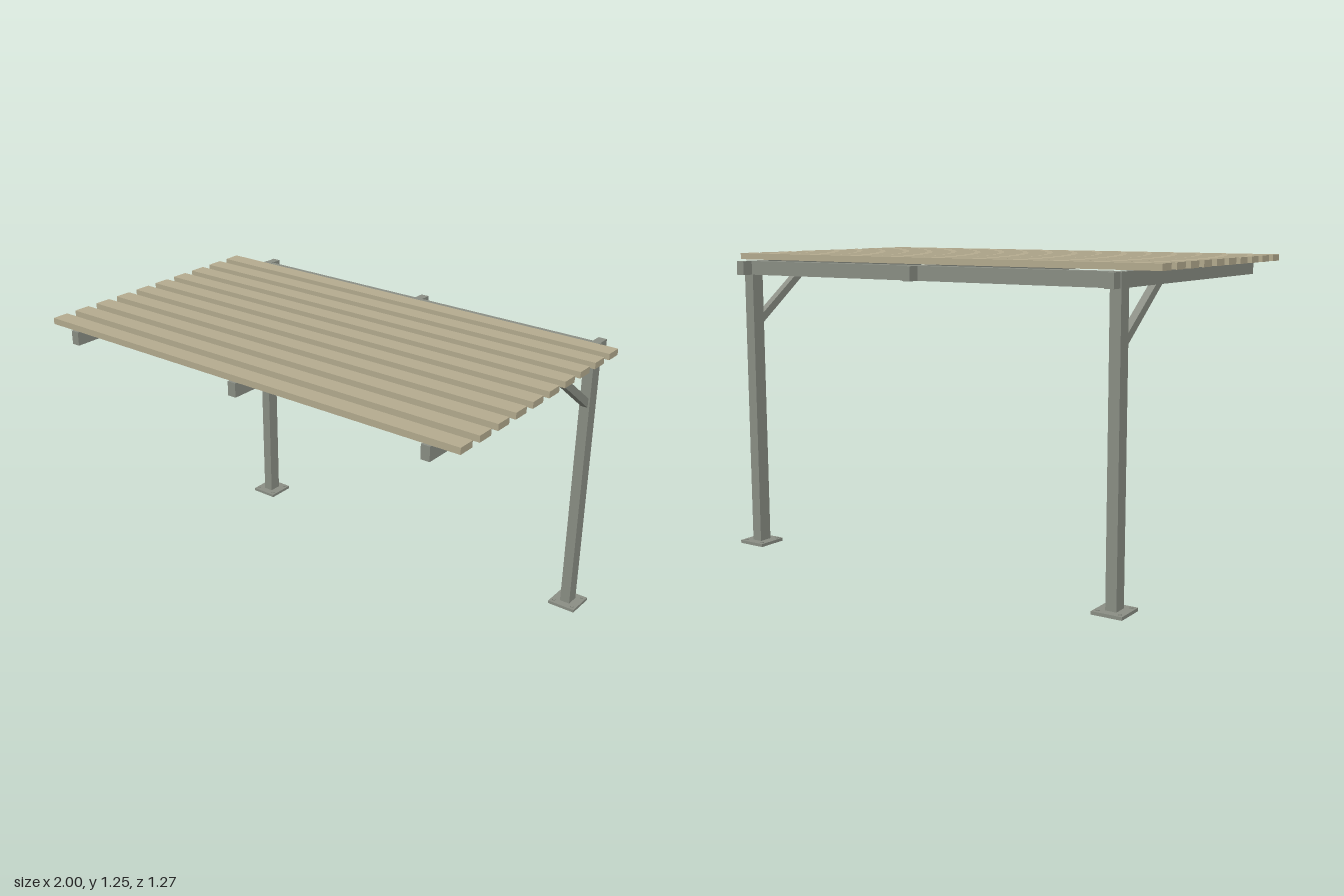
import * as THREE from 'three';

export function createModel() {
  const root = new THREE.Group();
  root.name = 'pergola';
  const steel = new THREE.MeshStandardMaterial({ name: 'grey green steel', color: 0x8b8f85 });
  const timber = new THREE.MeshStandardMaterial({ name: 'pale timber', color: 0xb5ac90 });

  const add = (name, geometry, material, x = 0, y = 0, z = 0) => {
    const mesh = new THREE.Mesh(geometry, material);
    mesh.name = name;
    mesh.position.set(x, y, z);
    root.add(mesh);
    return mesh;
  };
  // box given by its bottom height
  const box = (name, material, w, h, d, x, y0, z) =>
    add(name, new THREE.BoxGeometry(w, h, d), material, x, y0 + h / 2, z);

  const postX = 0.867, postZ = -0.555;
  const beamY = 1.165, beamH = 0.057;

  // diagonal brace side profile: shape x = z, shape y = y
  const braceShape = new THREE.Shape([
    [-0.527, 0.955], [-0.245, 1.166], [-0.297, 1.166], [-0.527, 0.996],
  ].map(([z, y]) => new THREE.Vector2(-z, y)));
  const braceGeometry = new THREE.ExtrudeGeometry(braceShape, { depth: 0.03, bevelEnabled: false });
  braceGeometry.translate(0, 0, -0.015).rotateY(Math.PI / 2);
  const boltGeometry = new THREE.CylinderGeometry(0.007, 0.007, 0.005, 12);

  for (const [side, s] of [['left', 1], ['right', -1]]) {
    const x = s * postX;
    // foot plate with four anchor bolts
    box(side + 'FootPlate', steel, 0.125, 0.013, 0.127, x, 0, postZ);
    for (const i of [-1, 1]) for (const j of [-1, 1])
      add(side + 'AnchorBolt', boltGeometry, steel, x + i * 0.045, 0.0145, postZ + j * 0.045);
    box(side + 'Post', steel, 0.045, 1.208, 0.058, x, 0.013, postZ);
    add(side + 'Brace', braceGeometry, steel, x);
  }

  // rear cross beam between the posts
  box('rearBeam', steel, 2 * postX - 0.045, beamH, 0.058, 0, beamY, postZ);

  // cantilevered rafters
  for (const x of [-postX, 0, postX])
    box('rafter', steel, 0.037, beamH, 1.266, x, beamY, 0);

  // roof slats
  for (let i = 0; i < 10; i++)
    box('roofSlat', timber, 2, 0.026, 0.072, 0, 1.224, 0.591 - i * 0.1167);

  return root;
}
